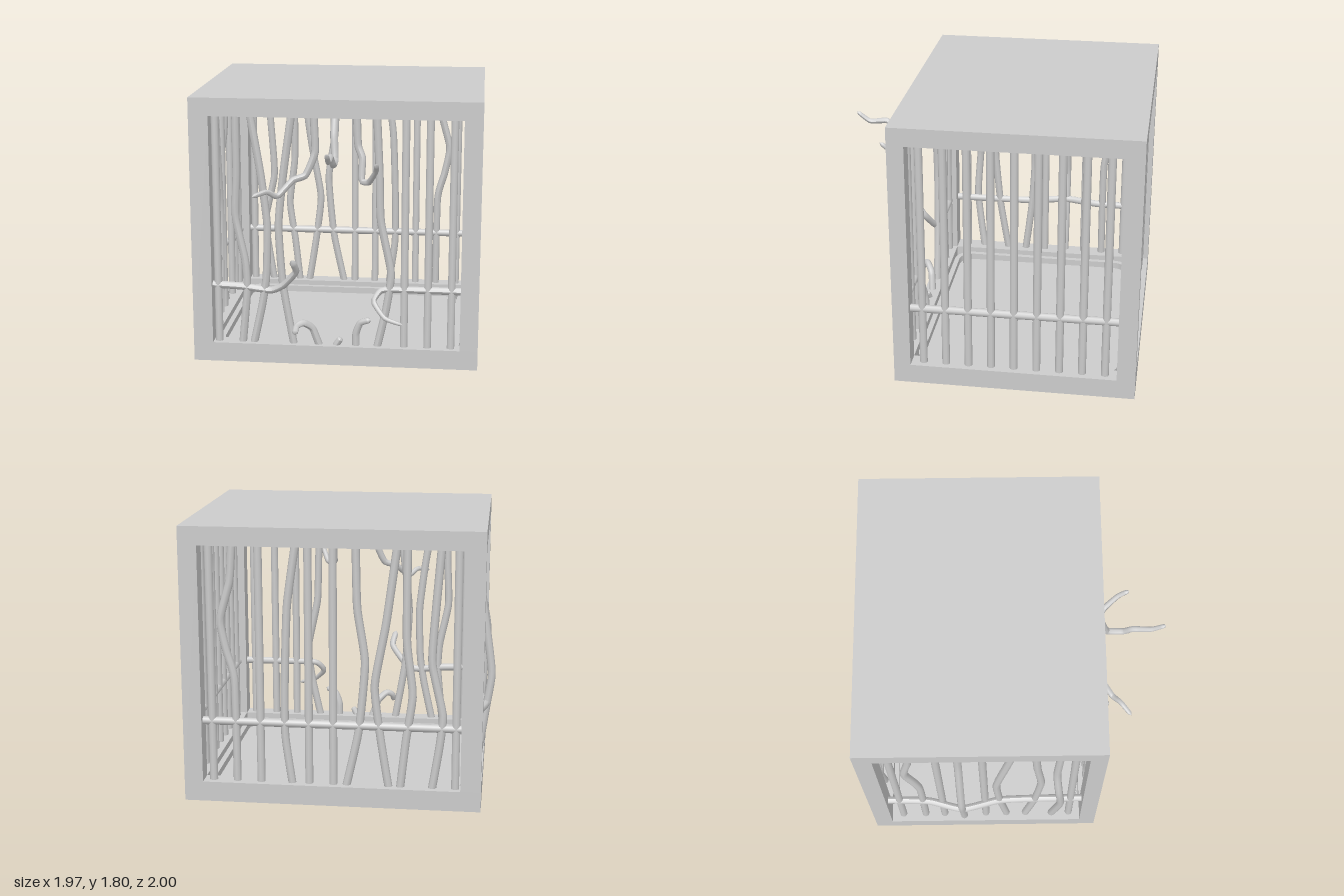
import * as THREE from 'three';

const mat = new THREE.MeshStandardMaterial({ color: 0xcccccc });
const X0 = -0.92, X1 = 0.98, Z0 = -1, Z1 = 0.58;   // outer footprint
const IX0 = -0.79, IX1 = 0.86, IZ0 = -0.88, IZ1 = 0.47; // inner opening
const Y0 = 0.01, LOW = 0.14, HIGH = 1.68, TOP = 1.8;
const LEFT = 0.92, RIGHT = -0.86, FRONT = 0.525, BACK = -0.94; // bar planes
const R = 0.026, RAIL = 0.535;
const V = (x, y, z) => new THREE.Vector3(x, y, z);

export function createModel() {
  const cage = new THREE.Group();
  cage.name = 'brokenCage';

  const add = (name, geo, x = 0, y = 0, z = 0) => {
    const m = new THREE.Mesh(geo, mat);
    m.name = name;
    m.position.set(x, y, z);
    cage.add(m);
    return m;
  };
  const box = (name, x0, x1, y0, y1, z0, z1) =>
    add(name, new THREE.BoxGeometry(x1 - x0, y1 - y0, z1 - z0), (x0 + x1) / 2, (y0 + y1) / 2, (z0 + z1) / 2);

  // rounded rectangle in plan (shape y runs along -z)
  const plan = (x0, x1, z0, z1, r, Type = THREE.Shape) => {
    const s = new Type(), a = -z1, b = -z0;
    s.moveTo(x0 + r, a).lineTo(x1 - r, a);
    if (r) s.absarc(x1 - r, a + r, r, -Math.PI / 2, 0);
    s.lineTo(x1, b - r);
    if (r) s.absarc(x1 - r, b - r, r, 0, Math.PI / 2);
    s.lineTo(x0 + r, b);
    if (r) s.absarc(x0 + r, b - r, r, Math.PI / 2, Math.PI);
    s.lineTo(x0, a + r);
    if (r) s.absarc(x0 + r, a + r, r, Math.PI, Math.PI * 1.5);
    return s;
  };
  const slab = (name, shape, y0, y1) => {
    const g = new THREE.ExtrudeGeometry(shape, { depth: y1 - y0, bevelEnabled: false, curveSegments: 8 });
    add(name, g.rotateX(-Math.PI / 2), 0, y0, 0);
  };

  // frame: roof, corner posts, base ring
  box('roof', X0, X1, HIGH, TOP, Z0, Z1);
  for (const [x0, x1] of [[X0, IX0], [IX1, X1]])
    for (const [z0, z1] of [[Z0, IZ0], [IZ1, Z1]]) box('cornerPost', x0, x1, LOW, HIGH, z0, z1);
  const base = plan(X0, X1, Z0, Z1, 0);
  base.holes.push(plan(IX0, IX1, IZ0, IZ1, 0, THREE.Path));
  slab('baseFrame', base, Y0, LOW);

  // floor tray with a raised rounded rim
  box('floorPlate', IX0, IX1, 0.015, 0.04, IZ0, IZ1);
  slab('trayFloor', plan(IX0 + 0.01, IX1 - 0.01, IZ0 + 0.01, IZ1 - 0.01, 0.13), 0.03, 0.06);
  const rim = plan(IX0 + 0.005, IX1 - 0.005, IZ0 + 0.005, IZ1 - 0.005, 0.13);
  rim.holes.push(plan(IX0 + 0.04, IX1 - 0.04, IZ0 + 0.04, IZ1 - 0.04, 0.1, THREE.Path));
  slab('trayRim', rim, 0.03, 0.105);

  // straight bar or rail between two points
  const straight = (name, a, b) => {
    const d = b.clone().sub(a);
    const m = add(name, new THREE.CylinderGeometry(R, R, d.length(), 10));
    m.position.copy(a).add(b).multiplyScalar(0.5);
    m.quaternion.setFromUnitVectors(V(0, 1, 0), d.normalize());
  };

  // bent rod through points; a torn rod thins towards its closed last end
  const bent = (name, pts, thin = 0) => {
    const curve = new THREE.CatmullRomCurve3(pts.map(p => V(...p)), false, 'catmullrom', 0.25);
    const n = pts.length * 6, sides = 8;
    const g = new THREE.TubeGeometry(curve, n, R, sides);
    const p = g.attributes.position, v = V(0, 0, 0);
    if (thin) for (let i = 0; i <= n; i++) {
      const c = curve.getPointAt(i / n);
      const k = i === n ? 0.02 : 1 - thin * (i / n) ** 2;
      for (let j = 0; j <= sides; j++) {
        const q = i * (sides + 1) + j;
        v.fromBufferAttribute(p, q).sub(c).multiplyScalar(k).add(c);
        p.setXYZ(q, v.x, v.y, v.z);
      }
    }
    g.computeVertexNormals();
    add(name, g);
  };

  // straight bars on a regular pitch, leaving out the damaged ones
  const lo = 0.08, hi = 1.72;
  const frontGaps = [1, 2, 3, 4, 5, 6, 7], backGaps = [1, 2, 3, 4, 7, 9], rightGaps = [2, 4, 5, 6, 7 - 0.5, 1, 7];
  for (let i = 0; i < 11; i++) {
    const x = -0.755 + i * 0.1555;
    if (!frontGaps.includes(i)) straight('frontBar', V(x, lo, FRONT), V(x, hi, FRONT));
    if (!backGaps.includes(i)) straight('backBar', V(x, lo, BACK), V(x, hi, BACK));
  }
  const sideGaps = [1, 3, 5, 6, 7];
  for (let i = 0; i < 9; i++) {
    const z = -0.8 + i * 0.149;
    straight('leftBar', V(LEFT, lo, z), V(LEFT, hi, z));
    if (!sideGaps.includes(i)) straight('rightBar', V(RIGHT, lo, z), V(RIGHT, hi, z));
  }

  // bent bars of the front and back, as x,y pairs from the top down
  const wallBars = {
    bentFrontBar: [FRONT, [
      [[-0.62, hi], [-0.62, 1.3], [-0.63, 1.0], [-0.57, 0.7], [-0.56, 0.5], [-0.6, lo]],
      [[-0.53, hi], [-0.46, 1.3], [-0.42, 0.95], [-0.43, 0.6], [-0.46, 0.4], [-0.53, lo]],
      [[-0.25, hi], [-0.31, 1.3], [-0.345, 0.95], [-0.32, 0.55], [-0.24, lo]],
      [[0.3, hi], [0.32, 1.3], [0.33, 1.0], [0.4, 0.65], [0.37, 0.4], [0.3, lo]]]],
    bentBackBar: [BACK, [
      [[-0.65, hi], [-0.61, 1.2], [-0.6, 0.95], [-0.67, 0.62], [-0.65, 0.4], [-0.6, lo]],
      [[-0.44, hi], [-0.44, 1.1], [-0.48, 0.75], [-0.44, 0.45], [-0.4, lo]],
      [[-0.38, hi], [-0.31, 1.2], [-0.24, 0.8], [-0.28, 0.45], [-0.34, lo]],
      [[-0.12, hi], [-0.13, 1.3], [-0.18, 0.95], [-0.14, 0.5], [-0.05, lo]],
      [[0.25, hi], [0.31, 1.3], [0.33, 0.8], [0.33, 0.45], [0.28, lo]],
      [[0.65, hi], [0.67, 1.45], [0.735, 1.2], [0.7, 1.0], [0.65, 0.8], [0.645, lo]]]],
  };
  for (const [name, [z, bars]] of Object.entries(wallBars))
    for (const b of bars) bent(name, b.map(([x, y]) => [x, y, z]));

  // bent bars of the right side, some pushed outwards
  const sideBars = [
    [[-0.86, hi, 0.3], [-0.87, 1.2, 0.28], [-0.92, 0.9, 0.3], [-0.9, 0.55, 0.32], [-0.86, lo, 0.26]],
    [[-0.86, hi, 0.13], [-0.86, 1.3, 0.15], [-0.86, 0.95, 0.18], [-0.86, 0.5, 0.14], [-0.86, lo, 0.07]],
    [[-0.86, hi, 0.01], [-0.86, 1.35, -0.05], [-0.86, 0.9, -0.12], [-0.86, 0.5, -0.1], [-0.86, lo, -0.05]],
    [[-0.86, hi, -0.36], [-0.87, 1.4, -0.36], [-0.93, 1.0, -0.36], [-0.963, 0.74, -0.36], [-0.93, 0.5, -0.36], [-0.87, lo, -0.36]],
    [[-0.86, hi, -0.65], [-0.86, 1.45, -0.68], [-0.86, 1.2, -0.72], [-0.86, 0.85, -0.64], [-0.86, 0, -0.64]],
  ];
  for (const b of sideBars) bent('bentRightBar', b);

  // torn bar ends reaching outwards
  const torn = [
    [[-0.11, hi, 0.525], [-0.1, 1.45, 0.53], [-0.16, 1.3, 0.55], [-0.24, 1.27, 0.58], [-0.33, 1.18, 0.66], [-0.39, 1.22, 0.71], [-0.475, 1.2, 0.78]],
    [[0.03, hi, 0.525], [0.03, 1.57, 0.58], [0.04, 1.42, 0.62], [0.04, 1.41, 0.73], [0.03, 1.475, 0.79], [0.03, 1.465, 0.91], [0.03, 1.53, 1.0]],
    [[0.17, hi, 0.525], [0.18, 1.5, 0.53], [0.21, 1.42, 0.55], [0.21, 1.28, 0.59], [0.26, 1.28, 0.62], [0.31, 1.37, 0.71], [0.32, 1.43, 0.78]],
    [[-0.06, lo, 0.525], [-0.12, 0.25, 0.54], [-0.18, 0.3, 0.58], [-0.22, 0.28, 0.6], [-0.23, 0.23, 0.63]],
    [[0.02, lo, 0.525], [0.04, 0.14, 0.53], [0.07, 0.19, 0.54]],
    [[0.17, lo, 0.525], [0.17, 0.22, 0.53], [0.2, 0.3, 0.54], [0.27, 0.33, 0.56]],
  ];
  torn.forEach((b, i) => bent('tornBar', b, i < 3 ? 0.45 : 0.25));

  // horizontal rails: whole at back and left, bulging at right, torn at front
  straight('backRail', V(RIGHT, RAIL, BACK), V(LEFT, RAIL, BACK));
  straight('leftRail', V(LEFT, RAIL, BACK), V(LEFT, RAIL, FRONT));
  bent('rightRail', [[-0.86, RAIL, BACK], [-0.87, RAIL, -0.6], [-0.93, RAIL, -0.36], [-0.87, RAIL, -0.1], [-0.86, RAIL, 0.2], [-0.86, RAIL, FRONT]]);
  bent('tornFrontRail', [[-0.86, RAIL, FRONT], [-0.6, 0.525, FRONT], [-0.4, 0.505, 0.53], [-0.31, 0.55, 0.55], [-0.22, 0.66, 0.6], [-0.24, 0.755, 0.67]], 0.2);
  bent('tornFrontRail', [[0.9, RAIL, FRONT], [0.5, RAIL, FRONT], [0.34, 0.53, 0.53], [0.29, 0.46, 0.57], [0.37, 0.37, 0.64], [0.49, 0.335, 0.66]], 0.55);

  return cage;
}
